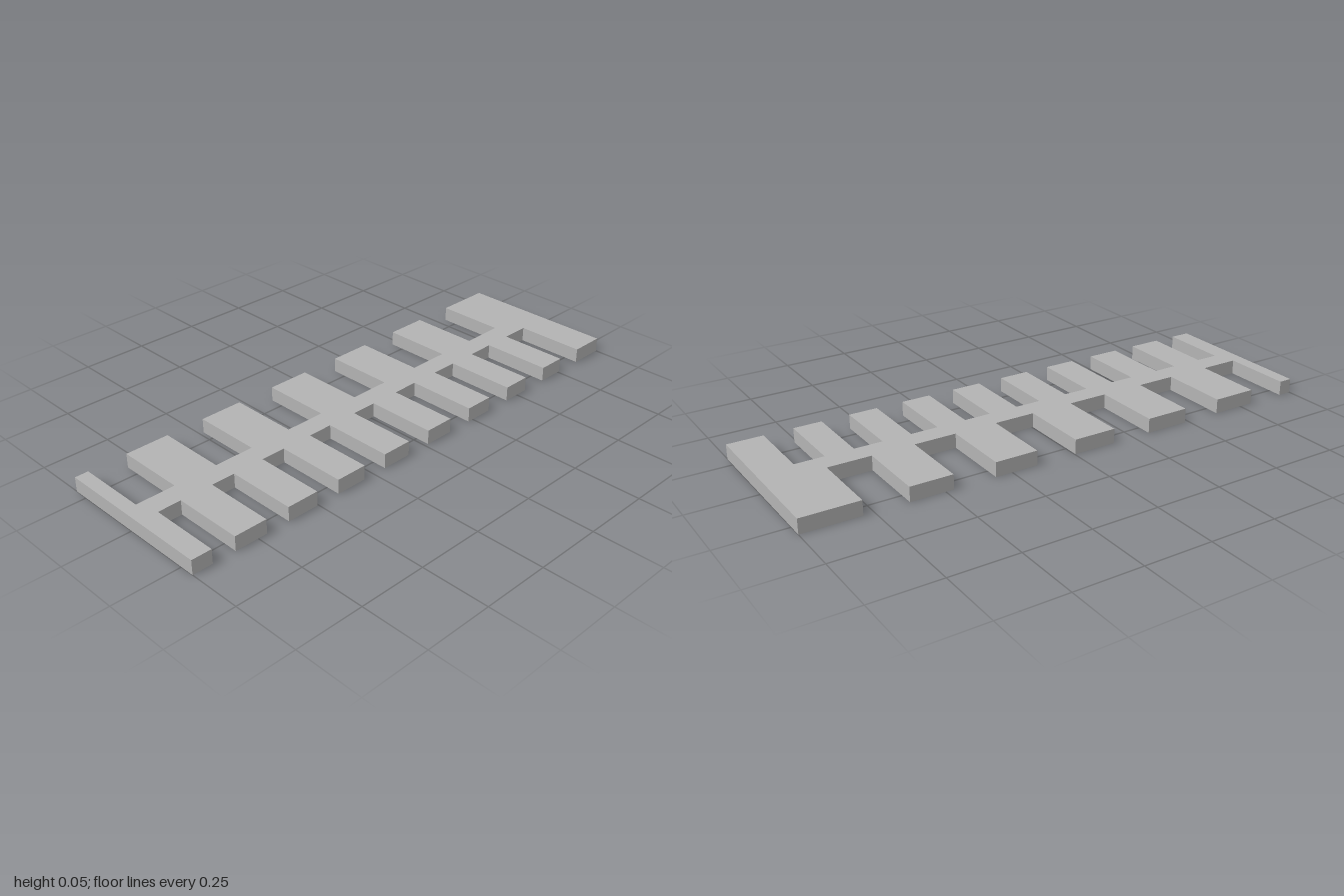
import * as THREE from 'three';

const HEIGHT = 0.054, HALF_DEPTH = 0.303, HALF_SPINE = 0.04;

// Notch edges [x0, x1] along one side; the notches widen slightly toward +x.
function notches(count, start, startPitch, end, endPitch) {
  return Array.from({ length: count }, (_, i) => [start + i * startPitch, end + i * endPitch]);
}

export function createModel() {
  const group = new THREE.Group();
  group.name = 'doubleComb';
  const grey = new THREE.MeshStandardMaterial({ color: 0xb3b3b3 });
  grey.name = 'plainGrey';

  const frontNotches = notches(9, -0.925, 0.2106, -0.838, 0.2132);
  const backNotches = notches(6, -0.95, 0.3156, -0.802, 0.318);

  // Outline in plan: shape y becomes -z once laid flat
  const outline = new THREE.Shape();
  outline.moveTo(-1, -HALF_DEPTH);
  const cut = (x0, x1, side) => {
    outline.lineTo(x0, side * HALF_DEPTH);
    outline.lineTo(x0, side * HALF_SPINE);
    outline.lineTo(x1, side * HALF_SPINE);
    outline.lineTo(x1, side * HALF_DEPTH);
  };

  // Front teeth, left to right
  for (const [x0, x1] of frontNotches) cut(x0, x1, -1);
  outline.lineTo(1, -HALF_DEPTH);
  outline.lineTo(1, HALF_DEPTH);
  // Back teeth, on the way back
  for (const [x0, x1] of backNotches.reverse()) cut(x1, x0, 1);
  outline.lineTo(-1, HALF_DEPTH);
  outline.closePath();

  // One flat slab with teeth on both sides of a thin spine
  const geometry = new THREE.ExtrudeGeometry(outline, { depth: HEIGHT, bevelEnabled: false });
  geometry.rotateX(-Math.PI / 2);
  const plate = new THREE.Mesh(geometry, grey);
  plate.name = 'toothedPlate';
  group.add(plate);
  return group;
}
